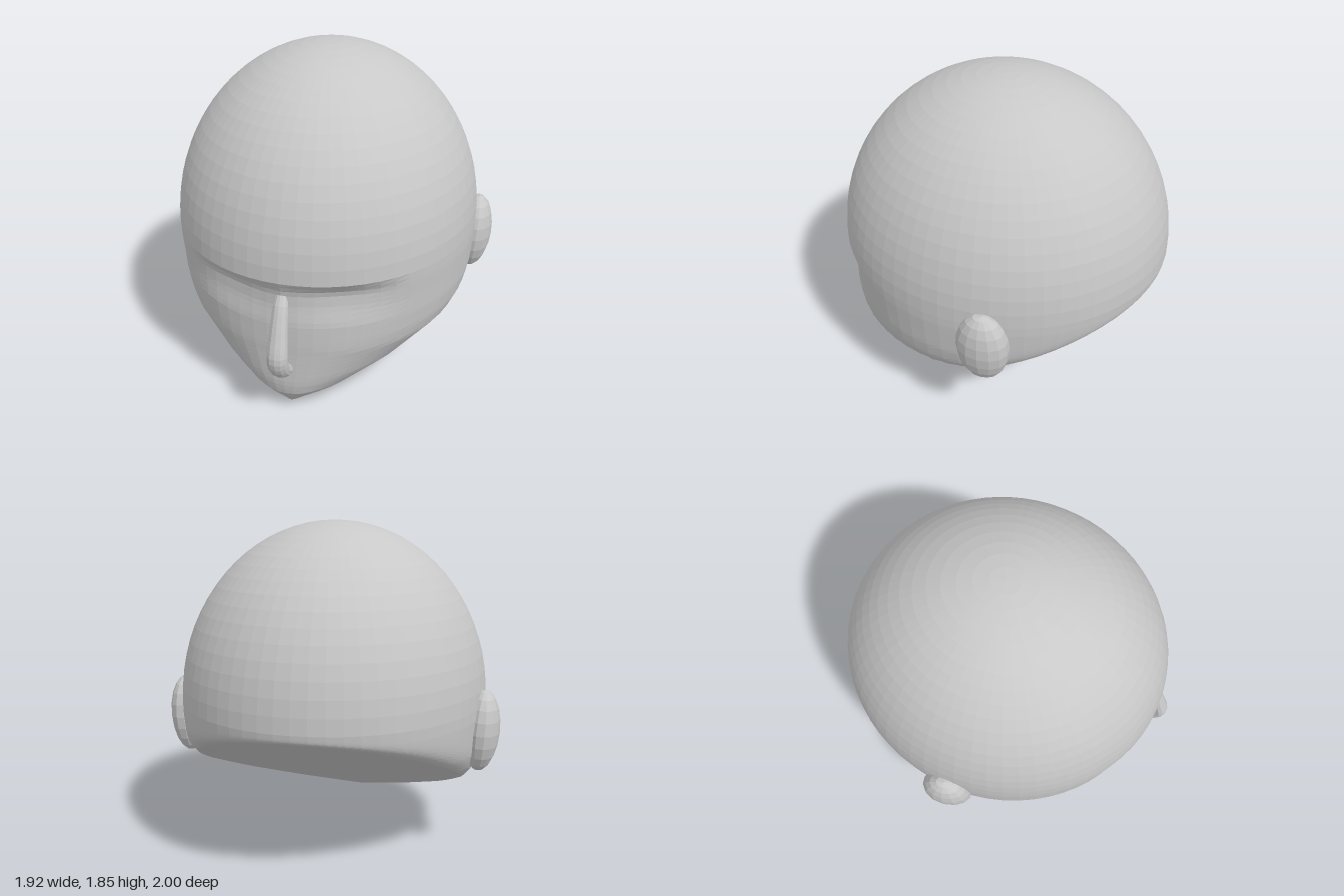
import * as THREE from 'three';

const SEG = 64, TOP = 18, LOW = 28;
const RX = 0.87, RZ = 0.95, CZ = -0.05, BROW = 0.86;

// linear interpolation through [position, value] pairs
function sample(knots, y) {
  if (y <= knots[0][0]) return knots[0][1];
  for (let i = 1; i < knots.length; i++) {
    const [a, va] = knots[i - 1], [b, vb] = knots[i];
    if (y <= b) return va + ((vb - va) * (y - a)) / (b - a);
  }
  return knots[knots.length - 1][1];
}

// jaw width and face depth by height
const WIDTH = [[0, 0.17], [0.03, 0.27], [0.12, 0.52], [0.25, 0.745], [0.42, 0.93], [0.5, 0.965], [0.6, 0.985], [0.8, 1]];
const DEPTH = [[0, 0.84], [0.02, 0.855], [0.08, 0.91], [0.13, 0.945], [0.2, 0.958], [0.4, 0.963], [0.7, 0.98], [0.86, 1]];
// eye hollow: sharp under the brow, fading into the cheek
const HOLLOW = [[0.45, 0], [0.6, 0.2], [0.7, 0.75], [0.77, 1], [0.81, 0.85], [0.855, 0]];
const ACROSS = [[0, 0.45], [0.12, 0.7], [0.3, 1], [0.45, 0.7], [0.62, 0]];

const basePlane = (z) => 0.355 - 0.47 * z;

// a point of the face below the brow; t runs from brow (0) to rim (1)
function lowerPoint(theta, y, t) {
  const c = Math.cos(theta);
  const pull = 1 - 0.06 * t ** 6 * (1 - Math.max(0, c));
  const x = RX * Math.sin(theta) * sample(WIDTH, y) * pull;
  let z = CZ + RZ * c * sample(DEPTH, y) * pull;
  if (c > 0) z -= 0.05 * sample(HOLLOW, y) * sample(ACROSS, Math.abs(x));
  return [x, y, z];
}

function headGeometry() {
  const pos = [], index = [];
  const thetas = Array.from({ length: SEG + 1 }, (_, j) => (j / SEG) * Math.PI * 2);
  // height at which each meridian meets the slanted underside
  const ends = thetas.map((th) => {
    let y = 0.4;
    for (let k = 0; k < 60; k++) y = 0.5 * y + 0.5 * basePlane(lowerPoint(th, y, 1)[2]);
    return y;
  });
  // dome
  for (let i = 0; i < TOP; i++) {
    const a = (i / TOP) * Math.PI / 2;
    for (const th of thetas) {
      pos.push(RX * Math.sin(a) * Math.sin(th), BROW + 0.99 * Math.cos(a), CZ + RZ * Math.sin(a) * Math.cos(th));
    }
  }
  // face and jaw
  for (let i = 0; i <= LOW; i++) {
    const t = i / LOW;
    thetas.forEach((th, j) => pos.push(...lowerPoint(th, BROW + (ends[j] - BROW) * t, t)));
  }
  // underside centre
  for (let j = 0; j <= SEG; j++) pos.push(0, basePlane(-0.1), -0.1);

  const w = SEG + 1;
  for (let i = 0; i < TOP + LOW + 1; i++) {
    for (let j = 0; j < SEG; j++) {
      const a = i * w + j, b = a + 1, c = a + w, d = c + 1;
      if (i < TOP + LOW) index.push(b, c, d);
      if (i > 0) index.push(a, c, b);
    }
  }
  const g = new THREE.BufferGeometry();
  g.setAttribute('position', new THREE.Float32BufferAttribute(pos, 3));
  g.setIndex(index);
  g.computeVertexNormals();
  return g;
}

// bent tube that widens toward the tip
function noseGeometry() {
  const path = new THREE.CatmullRomCurve3(
    [[0.765, 0.85], [0.7, 0.88], [0.56, 0.925], [0.43, 0.953], [0.365, 0.93], [0.32, 0.885], [0.3, 0.83]]
      .map(([y, z]) => new THREE.Vector3(0, y, z)));
  const rows = 20, sides = 12;
  const g = new THREE.TubeGeometry(path, rows, 1, sides);
  const p = g.attributes.position, v = new THREE.Vector3();
  for (let i = 0; i <= rows; i++) {
    const c = path.getPointAt(i / rows);
    const r = sample([[0, 0.03], [0.1, 0.04], [0.6, 0.058], [1, 0.054]], i / rows);
    for (let j = 0; j <= sides; j++) {
      const k = i * (sides + 1) + j;
      v.fromBufferAttribute(p, k).sub(c);
      p.setXYZ(k, c.x + v.x * r, c.y + v.y * r * 0.8, c.z + v.z * r * 0.8);
    }
  }
  g.computeVertexNormals();
  return g;
}

export function createModel() {
  const group = new THREE.Group();
  const clay = new THREE.MeshStandardMaterial({ color: 0xc8c8c8, flatShading: true });
  clay.name = 'clayGrey';
  const add = (name, geometry) => {
    const mesh = new THREE.Mesh(geometry, clay);
    mesh.name = name;
    group.add(mesh);
    return mesh;
  };

  add('head', headGeometry());
  add('nose', noseGeometry());
  // ears
  for (const [name, s] of [['leftEar', 1], ['rightEar', -1]]) {
    const ear = add(name, new THREE.SphereGeometry(1, 14, 10));
    ear.scale.set(0.1, 0.23, 0.147);
    ear.position.set(s * 0.86, 0.72, -0.2);
    ear.rotation.z = -s * 0.06;
  }
  return group;
}
